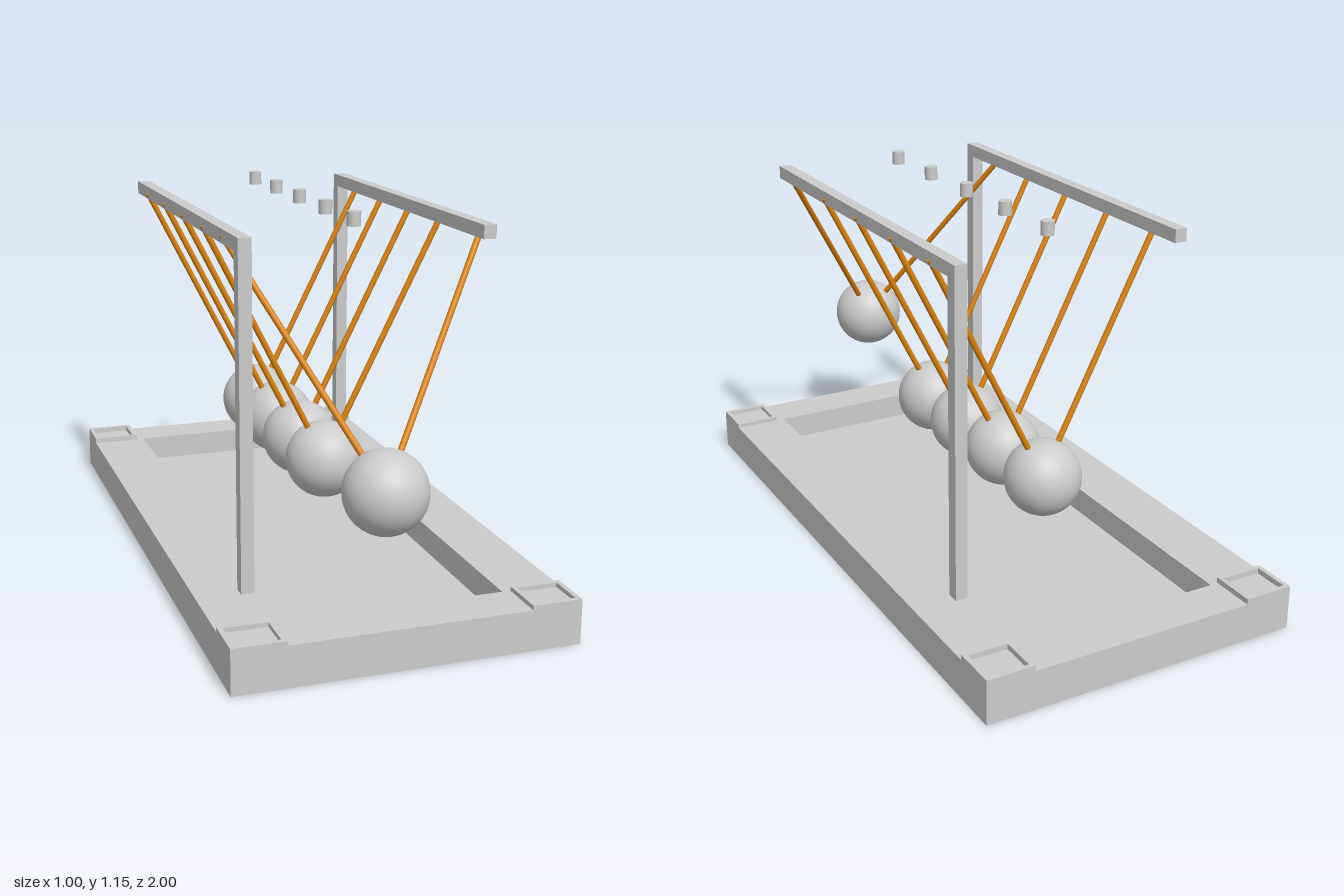
import * as THREE from 'three';

const grey = new THREE.MeshStandardMaterial({ color: 0xcccccc });
const orange = new THREE.MeshStandardMaterial({ color: 0xd9820f });

export function createModel() {
  const model = new THREE.Group();

  const add = (name, geometry, material = grey) => {
    const mesh = new THREE.Mesh(geometry, material);
    mesh.name = name;
    model.add(mesh);
    return mesh;
  };

  // box given by its limits on each axis
  const block = (name, [x0, x1], [y0, y1], [z0, z1]) =>
    add(name, new THREE.BoxGeometry(x1 - x0, y1 - y0, z1 - z0))
      .position.set((x0 + x1) / 2, (y0 + y1) / 2, (z0 + z1) / 2);

  // flat rectangular ring lying in the xz plane
  const corners = ([x0, x1], [z0, z1]) =>
    [[x0, -z1], [x1, -z1], [x1, -z0], [x0, -z0]].map(p => new THREE.Vector2(...p));
  const frame = (name, x, z, holeX, holeZ, [y0, y1]) => {
    const shape = new THREE.Shape(corners(x, z));
    shape.holes.push(new THREE.Path(corners(holeX, holeZ).reverse()));
    const geometry = new THREE.ExtrudeGeometry(shape, { depth: y1 - y0, bevelEnabled: false });
    add(name, geometry.rotateX(-Math.PI / 2).translate(0, y0, 0));
  };

  // base: floor slab with a raised rim around a sunken tray
  const baseX = [-0.498, 0.498], baseZ = [-1, 0.985], floorY = 0.038, rimY = 0.12;
  block('baseFloor', baseX, [0, floorY], baseZ);
  frame('baseRim', baseX, baseZ, [-0.32, 0.325], [-0.863, 0.845], [floorY, rimY]);

  // raised square corner pads, each with a shallow recess
  const inset = ([a, b]) => [a + 0.014, b - 0.014];
  for (const x of [[-0.498, -0.345], [0.35, 0.498]]) {
    for (const [z, top] of [[[-1, -0.86], 0.137], [[0.847, 0.985], 0.133]]) {
      frame('cornerPad', x, z, inset(x), inset(z), [rimY, top]);
    }
  }

  // two rails, each carried by one post at opposite ends
  for (const [side, postZ] of [[-1, [0.6, 0.64]], [1, [-0.59, -0.55]]]) {
    const x = side < 0 ? [-0.37, -0.332] : [0.332, 0.37];
    block('rail', x, [1.076, 1.116], [-0.59, 0.64]);
    block('post', x, [rimY - 0.01, 1.076], postZ);
  }

  // balls, each hung from both rails by a cord
  const radius = 0.117;
  const cord = (from, to) => {
    const dir = to.clone().sub(from);
    const mesh = add('cord', new THREE.CylinderGeometry(0.009, 0.009, dir.length(), 16), orange);
    mesh.position.copy(from).addScaledVector(dir, 0.5);
    mesh.quaternion.setFromUnitVectors(new THREE.Vector3(0, 1, 0), dir.normalize());
  };
  const hangingBall = (name, center, leftAnchor, rightAnchor) => {
    add(name, new THREE.SphereGeometry(radius, 48, 32)).position.copy(center);
    cord(center, leftAnchor);
    cord(center, rightAnchor);
  };
  const v = (x, y, z) => new THREE.Vector3(x, y, z);

  const spacing = 0.238;
  for (let i = 0; i < 5; i++) {
    const z = 0.508 - i * spacing;
    // small peg floating above each ball position
    add('peg', new THREE.CylinderGeometry(0.02, 0.02, 0.042, 32)).position.set(0, 1.131, z);
    if (i > 0) hangingBall('restingBall', v(0, 0.364, z), v(0.368, 1.093, z), v(-0.368, 1.093, z));
  }

  // end ball swung out to the front
  hangingBall('swungBall', v(-0.043, 0.466, 0.883), v(0.36, 1.09, 0.56), v(-0.365, 1.095, 0.468));

  return model;
}
